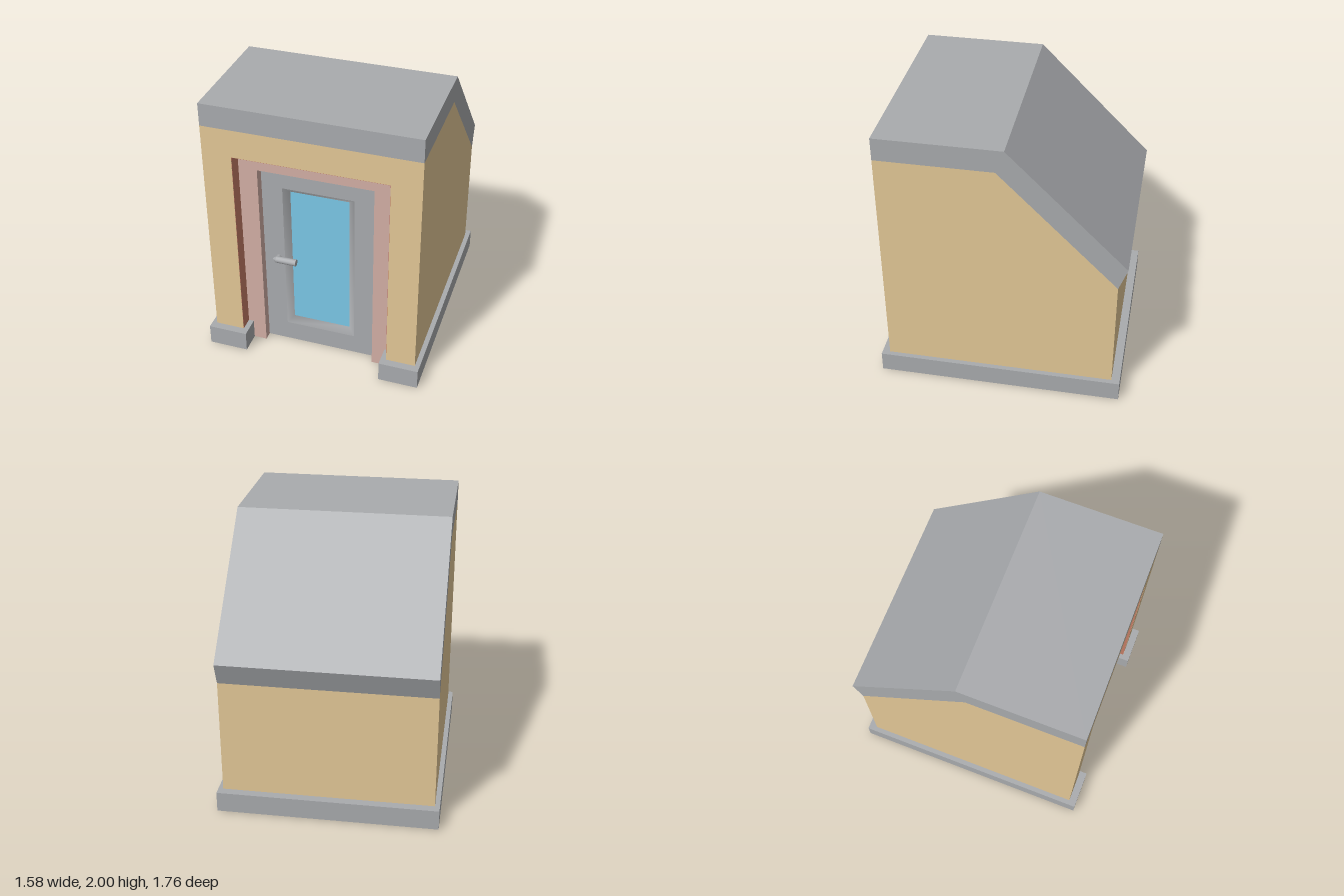
import * as THREE from 'three';

const mat = (name, color) =>
  new THREE.MeshStandardMaterial({ name, color, side: THREE.DoubleSide });

export function createModel() {
  const model = new THREE.Group();
  const sand = mat('sand wall', 0xe3c897);
  const grey = mat('grey concrete', 0xa9abae);
  const pink = mat('pink frame', 0xd2afa5);
  const clay = mat('terracotta reveal', 0xc47c66);
  const blue = mat('blue glass', 0x7bc8e7);

  const add = (name, geometry, material, parent = model) => {
    const mesh = new THREE.Mesh(geometry, material);
    mesh.name = name;
    parent.add(mesh);
    return mesh;
  };
  const shapeOf = (pts) => new THREE.Shape(pts.map((p) => new THREE.Vector2(...p)));
  const extrude = (shape, depth) =>
    new THREE.ExtrudeGeometry(shape, { depth, bevelEnabled: false });
  // side profile in (z, y), extruded along x from x0 to x1
  const sideExtrude = (pts, x0, x1) =>
    extrude(shapeOf(pts), x1 - x0).rotateY(-Math.PI / 2).translate(x1, 0, 0);
  // plan outline in (x, z), extruded up from y0
  const planExtrude = (pts, y0, h) =>
    extrude(shapeOf(pts), h).rotateX(Math.PI / 2).translate(0, y0 + h, 0);
  // closes a right-hand half outline with its mirror image
  const mirrored = (half) =>
    [...half, ...half.map(([x, z]) => [-x, z]).reverse()];
  // upside-down U around a doorway
  const portal = (outX, outY, inX, inY) => shapeOf([
    [-outX, 0], [-outX, outY], [outX, outY], [outX, 0],
    [inX, 0], [inX, inY], [-inX, inY], [-inX, 0],
  ]);
  const rect = (x0, y0, x1, y1) => [[x0, y0], [x1, y0], [x1, y1], [x0, y1]];

  const W = 0.755, FRONT = 0.825, BACK = -0.82;
  const T = 0.004; // thickness of all sheets

  // walls
  const profile = [[FRONT, 0], [FRONT, 1.835], [0.01, 1.835], [BACK, 1], [BACK, 0]];
  add('leftWall', sideExtrude(profile, W - T, W), sand);
  add('rightWall', sideExtrude(profile, -W, -W + T), sand);
  add('backWall', extrude(shapeOf(rect(-W + T, 0, W - T, 1)), T)
    .translate(0, 0, BACK), sand);
  add('frontWall', extrude(portal(W - T, 1.835, 0.545, 1.63), T)
    .translate(0, 0, FRONT - T), sand);

  // roof: flat front part and a slope to the back
  add('roof', sideExtrude([
    [FRONT, 1.835], [FRONT, 2], [-0.05, 2], [-0.88, 1.165], [BACK, 1], [0.01, 1.835],
  ], -W, W), grey);

  // plinth: skirt and ledge, hollow below and open at the doorway
  const P = 0.79, Z = 0.88, G = 0.505, R = 0.725;
  add('plinthSkirt', planExtrude(mirrored([
    [P, -Z], [P, Z], [G, Z], [G, R], [G + T, R],
    [G + T, Z - T], [P - T, Z - T], [P - T, -Z + T],
  ].slice(0, 5).concat([[G + T, Z - T], [P - T, Z - T], [P - T, -Z + T]])), 0, 0.15 - T), grey);
  add('plinthLedge', planExtrude(mirrored([
    [P, -Z], [P, Z], [G, Z], [G, R], [0.543, R],
    [0.543, FRONT], [W, FRONT], [W, BACK],
  ]), 0.15 - T, T), grey);

  // floor with a notch behind the door
  const fx = W - T;
  add('floor', planExtrude(mirrored([
    [fx, BACK + T], [fx, FRONT - T], [0.55, FRONT - T], [0.55, 0.4],
  ]), 0.14, T), grey);

  // doorway lining, frame face and frame reveal
  add('doorwayLining', extrude(portal(0.547, 1.632, 0.543, 1.628), 0.424)
    .translate(0, 0, 0.4), clay);
  add('doorFrame', extrude(portal(0.543, 1.628, 0.41, 1.495), T)
    .translate(0, 0, R - T), pink);
  add('doorFrameReveal', extrude(portal(0.414, 1.499, 0.41, 1.495), R - T - 0.655)
    .translate(0, 0, 0.655), pink);

  // door leaf with a window opening
  const door = new THREE.Group();
  door.name = 'door';
  door.position.z = 0.66;
  model.add(door);
  const outer = rect(-0.26, 0.15, 0.255, 1.34);
  const inner = rect(-0.215, 0.2, 0.21, 1.3);
  const leaf = shapeOf(rect(-0.41, 0, 0.41, 1.493));
  leaf.holes.push(shapeOf(outer));
  add('doorLeaf', extrude(leaf, T).translate(0, 0, -T), grey, door);
  add('glass', extrude(shapeOf(inner), T).translate(0, 0, -0.035 - T), blue, door);

  // sloping window surround
  const pos = [];
  const idx = [];
  outer.forEach((p) => pos.push(...p, 0));
  inner.forEach((p) => pos.push(...p, -0.035));
  for (let i = 0; i < 4; i++) {
    const j = (i + 1) % 4;
    idx.push(i, j, j + 4, i, j + 4, i + 4);
  }
  const surround = new THREE.BufferGeometry();
  surround.setAttribute('position', new THREE.Float32BufferAttribute(pos, 3));
  surround.setIndex(idx);
  surround.computeVertexNormals();
  add('windowSurround', surround, grey, door);

  // handle
  const handle = new THREE.Group();
  handle.name = 'handle';
  handle.position.set(-0.31, 0.75, 0.035);
  door.add(handle);
  add('lever', new THREE.CylinderGeometry(0.025, 0.025, 0.147, 12)
    .rotateZ(Math.PI / 2).translate(0.0735, 0, 0), grey, handle);
  add('leverTip', new THREE.CylinderGeometry(0.025, 0.008, 0.025, 12)
    .rotateZ(-Math.PI / 2).translate(-0.0125, 0, 0), grey, handle);
  add('stem', new THREE.CylinderGeometry(0.018, 0.018, 0.04, 12)
    .rotateX(Math.PI / 2).translate(0.005, 0, -0.02), grey, handle);
  return model;
}
